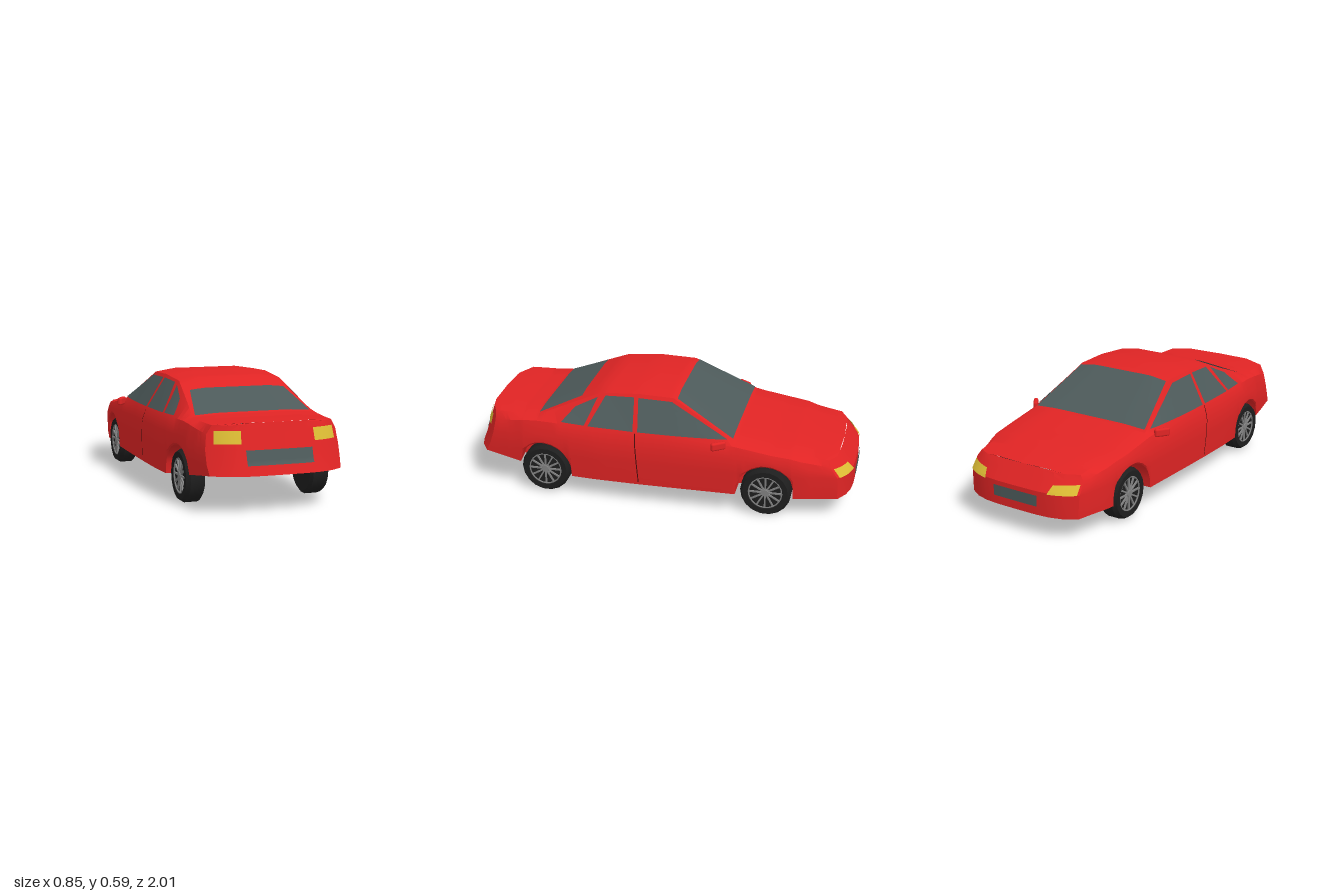
import * as THREE from 'three';
import { toCreasedNormals } from 'three/addons/utils/BufferGeometryUtils.js';
import { RoundedBoxGeometry } from 'three/addons/geometries/RoundedBoxGeometry.js';

const mat = (name, color, side = THREE.FrontSide) =>
  new THREE.MeshStandardMaterial({ name, color, side });
const { lerp, clamp } = THREE.MathUtils;

const WHEEL_Z = [-0.575, 0.59], WHEEL_R = 0.13, ARCH_R = 0.152;

// Body stations: z, half width, crease y, belt half width, belt y, roof edge half width, edge y, top y, floor y
const KEYS = [
  [-1.00, .325, .25, .320, .290, .300, .318, .325, .115],
  [-0.80, .365, .29, .355, .320, .310, .338, .346, .115],
  [-0.60, .385, .31, .370, .345, .320, .360, .368, .115],
  [-0.41, .392, .32, .372, .375, .345, .390, .398, .115],
  [-0.08, .398, .33, .377, .395, .275, .565, .581, .115],
  [ 0.10, .400, .33, .377, .398, .275, .570, .587, .115],
  [ 0.30, .398, .33, .372, .400, .270, .555, .570, .115],
  [ 0.45, .390, .33, .367, .400, .288, .494, .505, .115],
  [ 0.63, .376, .33, .355, .400, .310, .418, .426, .145],
  [ 0.74, .367, .32, .350, .392, .308, .412, .420, .158],
  [ 0.86, .355, .31, .340, .382, .306, .412, .421, .170],
  [ 1.00, .335, .30, .325, .370, .300, .412, .420, .185],
];

function keyAt(z) {
  let k = 0;
  while (k < KEYS.length - 2 && z > KEYS[k + 1][0]) k++;
  const a = KEYS[k], b = KEYS[k + 1], t = (z - a[0]) / (b[0] - a[0]);
  return a.map((v, i) => lerp(v, b[i], t));
}

// Half cross-section from floor centre, round the wheel well and side, to roof centre
function section(z) {
  const [, w, yc, wb, yb, tr, ye, yt, yf] = keyAt(z);
  let ya = yf;
  for (const c of WHEEL_Z) {
    const d = Math.abs(z - c);
    if (d < ARCH_R) ya = Math.max(ya, WHEEL_R + Math.sqrt(ARCH_R ** 2 - d * d));
  }
  return [[0, yf], [.16, yf], [.26, yf], [.26, ya], [w - .006, ya], [w, Math.max(.235, ya + .008)],
    [w, yc], [wb, yb], [tr, ye], [tr * .62, yt], [0, yt]];
}

// Rounds both ends in plan and leans them back with height
function warp(x, y, z) {
  const s = clamp((Math.abs(z) - .7) / .3, 0, 1);
  const bow = .07 * (Math.abs(x) / .325) ** 4;
  const rake = z > 0
    ? clamp((y - .225) / .01, 0, 1) * .02 + .06 * Math.max(0, y - .235) / .185
    : .07 * Math.max(0, y - .235) / .09;
  return [x, y, z - Math.sign(z) * s * (bow + rake)];
}

function meshData(pos, idx, crease = 0.5) {
  const g = new THREE.BufferGeometry();
  g.setAttribute('position', new THREE.Float32BufferAttribute(pos, 3));
  g.setIndex(idx);
  return toCreasedNormals(g, crease);
}

function bodyGeometry() {
  const zs = KEYS.map(k => k[0]);
  for (let z = -.95; z < .99; z += .05) zs.push(z);
  for (const c of WHEEL_Z) for (let i = 0; i <= 12; i++) zs.push(c + ARCH_R * Math.cos(Math.PI * i / 12));
  const stations = zs.sort((a, b) => a - b).filter((z, i, a) => i === 0 || z - a[i - 1] > 1e-4);
  const pos = [], idx = [], N = 20;
  for (const z of stations) {
    const h = section(z);
    const ring = [...h, ...h.slice(1, -1).reverse().map(([x, y]) => [-x, y])];
    for (const [x, y] of ring) pos.push(...warp(x, y, z));
  }
  for (let k = 0; k < stations.length - 1; k++) for (let i = 0; i < N; i++) {
    const j = (i + 1) % N, a = k * N + i, b = k * N + j;
    idx.push(a, b, b + N, a, b + N, a + N);
  }
  // nose and tail panels
  const C = 10;
  for (const z of [-1, 1]) {
    const rows = section(z).slice(4, 10), base = pos.length / 3;
    for (const [x, y] of rows) for (let c = 0; c <= C; c++) pos.push(...warp(lerp(-x, x, c / C), y, z));
    for (let r = 0; r < rows.length - 1; r++) for (let c = 0; c < C; c++) {
      const a = base + r * (C + 1) + c, b = a + 1, d = a + C + 1, e = d + 1;
      if (z > 0) idx.push(a, b, e, a, e, d); else idx.push(a, e, b, a, d, e);
    }
  }
  return meshData(pos, idx);
}

// Projections onto the body skin
function onSide(s) {
  return (z, y) => {
    const h = section(z);
    let i = 4;
    while (i < 7 && y > h[i + 1][1]) i++;
    const t = clamp((y - h[i][1]) / (h[i + 1][1] - h[i][1]), 0, 1);
    return [s * (lerp(h[i][0], h[i + 1][0], t) + .005), y + .002, z];
  };
}
function onRoof(x, z) {
  const h = section(z), t = clamp((Math.abs(x) - h[9][0]) / (h[8][0] - h[9][0]), 0, 1);
  const p = warp(x, lerp(h[9][1], h[8][1], t), z);
  return [p[0], p[1] + .006, p[2]];
}
const onEnd = end => (x, y) => {
  const p = warp(x, y, end);
  return [p[0], p[1], p[2] + end * .006];
};

// Thin four-cornered plate laid over the skin
function plate(corners, project, nu = 12, nv = 6) {
  const [a, b, c, d] = corners, pos = [], idx = [];
  for (let j = 0; j <= nv; j++) for (let i = 0; i <= nu; i++) {
    const u = i / nu, v = j / nv;
    pos.push(...project(...[0, 1].map(k => lerp(lerp(a[k], b[k], u), lerp(d[k], c[k], u), v))));
  }
  for (let j = 0; j < nv; j++) for (let i = 0; i < nu; i++) {
    const p = j * (nu + 1) + i, q = p + nu + 1;
    idx.push(p, p + 1, q + 1, p, q + 1, q);
  }
  return meshData(pos, idx, 0.7);
}

export function createModel() {
  const paint = mat('red paint', 0xe02424);
  const glass = mat('grey glass', 0x4d5a5a, THREE.DoubleSide);
  const lamp = mat('yellow lamp', 0xdcbc34, THREE.DoubleSide);
  const rubber = mat('black rubber', 0x1e1e1e);
  const metal = mat('grey metal', 0x808080);
  const seam = mat('dark seam', 0x4a0c0c, THREE.DoubleSide);

  const car = new THREE.Group();
  car.name = 'car';
  const add = (name, geo, material, parent = car) => {
    const m = new THREE.Mesh(geo, material);
    m.name = name;
    parent.add(m);
    return m;
  };

  add('body', bodyGeometry(), paint);

  // Front and rear glass
  add('windscreen', plate([[-.335, -.40], [.335, -.40], [.268, -.10], [-.268, -.10]], onRoof), glass);
  add('rearWindow', plate([[-.25, .41], [.25, .41], [.298, .63], [-.298, .63]], onRoof), glass);

  // Number plate panels
  add('rearPlate', plate([[-.165, .232], [.165, .232], [.165, .30], [-.165, .30]], onEnd(1)), glass);
  add('frontPlate', plate([[-.13, .16], [.13, .16], [.13, .215], [-.13, .215]], onEnd(-1)), glass);

  // Side glass, lamps, door seams and mirrors on both sides
  const sideGlass = {
    frontSideWindow: [[-.375, .400], [.085, .402], [.100, .552], [-.075, .548]],
    rearSideWindow: [[.110, .402], [.350, .404], [.275, .545], [.122, .553]],
    quarterWindow: [[.370, .405], [.495, .408], [.430, .480], [.315, .535]],
  };
  for (const s of [1, -1]) {
    for (const [name, c] of Object.entries(sideGlass)) add(name, plate(c, onSide(s)), glass);
    add('doorSeam', plate([[.075, .13], [.080, .13], [.100, .395], [.095, .395]], onSide(s), 1, 10), seam);
    add('tailLamp', plate([[s * .183, .328], [s * .303, .328], [s * .296, .387], [s * .180, .387]], onEnd(1)), lamp);
    add('headLamp', plate([[s * .185, .232], [s * .318, .236], [s * .316, .280], [s * .200, .272]], onEnd(-1)), lamp);
    const mirror = add('wingMirror', new RoundedBoxGeometry(.024, .042, .08, 2, .01), paint);
    mirror.position.set(s * .396, .382, -.335);
    mirror.rotation.y = s * .62;
  }

  // Wheels, built with the axle along y and the outer face up
  const tyreProfile = [[0, -.048], [.115, -.048], [.13, -.036], [.13, .028], [.117, .048],
    [.090, .048], [.086, .034], [0, .034]].map(p => new THREE.Vector2(...p));
  const tyreGeo = toCreasedNormals(new THREE.LatheGeometry(tyreProfile, 18), 0.5);
  const rimGeo = new THREE.TorusGeometry(.085, .004, 6, 24).rotateX(Math.PI / 2).translate(0, .042, 0);
  const hubGeo = new THREE.CylinderGeometry(.018, .022, .014, 12).translate(0, .040, 0);
  const spokeGeo = new THREE.BoxGeometry(.072, .008, .008).translate(.048, .039, 0);
  for (const s of [1, -1]) for (const z of WHEEL_Z) {
    const wheel = new THREE.Group();
    wheel.name = z < 0 ? 'frontWheel' : 'rearWheel';
    wheel.position.set(s * .321, WHEEL_R, z);
    wheel.rotation.z = -s * Math.PI / 2;
    add('tyre', tyreGeo, rubber, wheel);
    add('rim', rimGeo, metal, wheel);
    add('hub', hubGeo, metal, wheel);
    for (let i = 0; i < 12; i++) add('spoke', spokeGeo, metal, wheel).rotation.y = i * Math.PI / 6;
    car.add(wheel);
  }
  return car;
}
